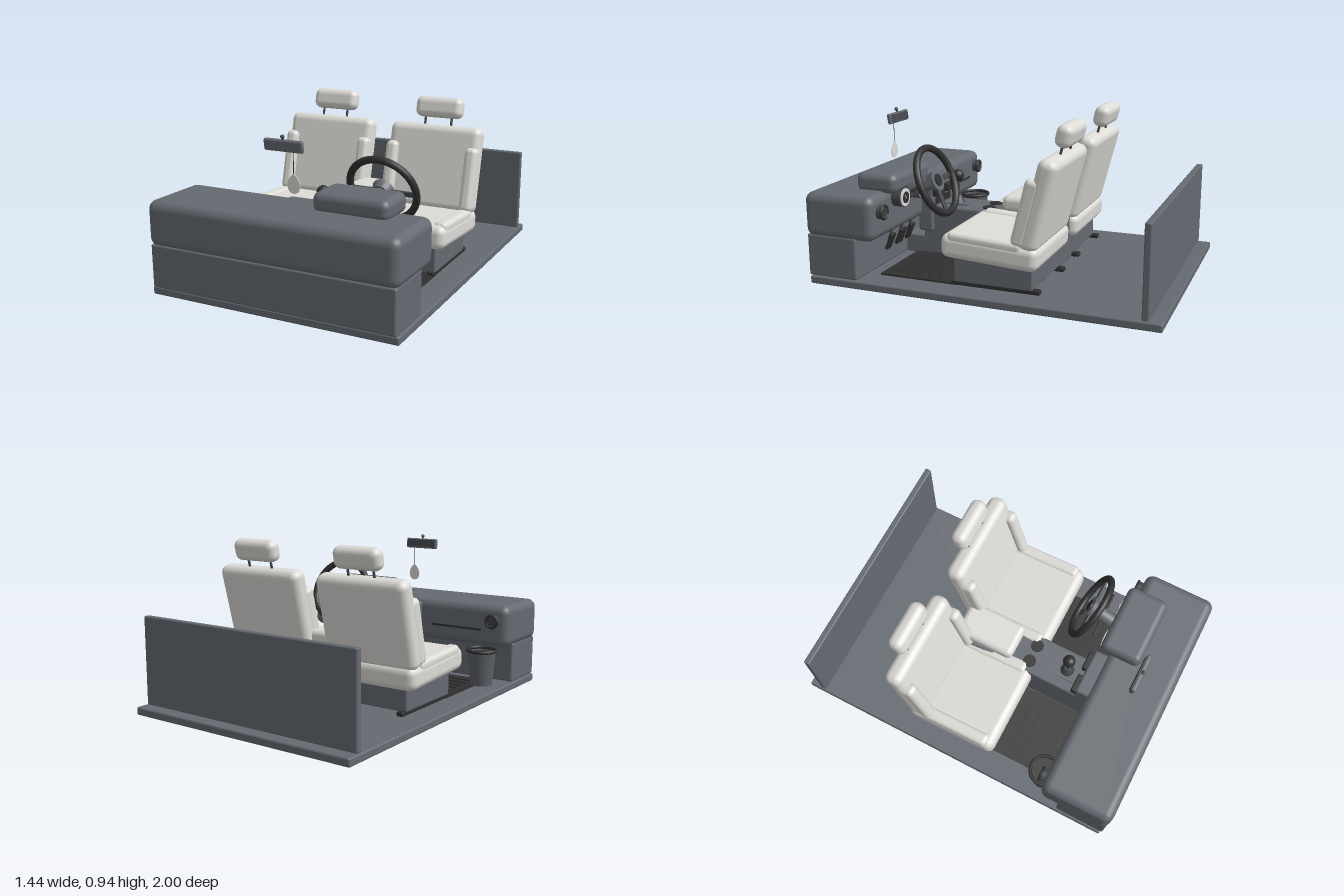
import * as THREE from 'three';
import { RoundedBoxGeometry } from 'three/addons/geometries/RoundedBoxGeometry.js';

const mat = (name, color, extra = {}) => Object.assign(new THREE.MeshStandardMaterial({ color, ...extra }), { name });

export function createModel() {
  const grey = mat('slate grey trim', 0x656a71);
  const ivory = mat('ivory upholstery', 0xdddcd7);
  const black = mat('black rubber', 0x303031);
  const dark = mat('dark metal', 0x45484d);
  const leafMat = mat('ivory charm', 0xdddcd7, { side: THREE.DoubleSide });
  const binMat = mat('bin grey', 0x5d6168, { side: THREE.DoubleSide });

  const model = new THREE.Group();
  model.name = 'vehicleCabin';

  const add = (parent, name, geo, material, x = 0, y = 0, z = 0, rx = 0, ry = 0, rz = 0) => {
    const m = new THREE.Mesh(geo, material);
    m.name = name;
    m.position.set(x, y, z);
    m.rotation.set(rx, ry, rz);
    parent.add(m);
    return m;
  };
  const group = (parent, name, x = 0, y = 0, z = 0, rx = 0) => {
    const g = new THREE.Group();
    g.name = name;
    g.position.set(x, y, z);
    g.rotation.x = rx;
    parent.add(g);
    return g;
  };
  const rbox = (w, h, d, r, s = 3) => new RoundedBoxGeometry(w, h, d, s, r);
  // Rounded box given by its extents on each axis
  const block = (parent, name, material, [x0, x1], [y0, y1], [z0, z1], r) =>
    add(parent, name, rbox(x1 - x0, y1 - y0, z1 - z0, r), material, (x0 + x1) / 2, (y0 + y1) / 2, (z0 + z1) / 2);
  const cyl = (rt, rb, h, n = 24, open = false) => new THREE.CylinderGeometry(rt, rb, h, n, 1, open);
  const HALF = Math.PI / 2;

  // Floor and rear wall
  block(model, 'floor', grey, [-0.717, 0.717], [0, 0.045], [-1, 0.98], 0.01);
  block(model, 'rearWall', grey, [-0.708, 0.708], [0.045, 0.54], [-0.93, -0.893], 0.008);

  // Dashboard
  block(model, 'dashboardBase', grey, [-0.706, 0.706], [0.045, 0.285], [0.69, 0.992], 0.012);
  block(model, 'dashboardTop', grey, [-0.72, 0.72], [0.27, 0.522], [0.575, 1], 0.05);
  block(model, 'instrumentHood', grey, [0.132, 0.553], [0.505, 0.615], [0.52, 0.765], 0.04);
  add(model, 'gloveBoxSlot', new THREE.BoxGeometry(0.34, 0.012, 0.008), black, -0.38, 0.37, 0.574);

  // Gauges facing the driver
  for (const x of [0.235, 0.445]) {
    const g = group(model, 'gauge', x, 0.472, 0.54);
    add(g, 'gaugeHousing', cyl(0.054, 0.054, 0.08), dark, 0, 0, 0.02, HALF);
    add(g, 'gaugeFace', cyl(0.05, 0.05, 0.008), ivory, 0, 0, -0.024, HALF);
    add(g, 'gaugeCentre', cyl(0.033, 0.033, 0.006), black, 0, 0, -0.028, HALF);
    add(g, 'gaugeNeedle', new THREE.BoxGeometry(0.004, 0.028, 0.004), ivory, 0.008, 0.008, -0.031, 0, 0, -0.7);
  }

  // Round air vents at the dashboard ends
  for (const x of [-0.632, 0.632]) {
    const v = group(model, 'roundVent', x, 0.43, 0.56);
    add(v, 'ventBarrel', cyl(0.038, 0.038, 0.045), dark, 0, 0, 0.005, HALF);
    add(v, 'ventRing', new THREE.TorusGeometry(0.036, 0.008, 8, 24), black, 0, 0, -0.015);
    for (const y of [-0.014, 0, 0.014])
      add(v, 'ventSlat', new THREE.BoxGeometry(0.056, 0.004, 0.006), black, 0, y, -0.019);
  }

  // Centre stack and console
  block(model, 'centreStack', grey, [-0.138, 0.138], [0.188, 0.5], [0.505, 0.6], 0.015);
  block(model, 'console', grey, [-0.12, 0.12], [0.045, 0.345], [-0.28, 0.575], 0.015);
  block(model, 'consoleFoot', grey, [-0.12, 0.12], [0.045, 0.155], [0.5, 0.7], 0.01);
  block(model, 'armrest', ivory, [-0.108, 0.108], [0.345, 0.438], [-0.285, 0.078], 0.035);
  for (const s of [-1, 1]) {
    block(model, 'centreVent', black, [s * 0.075 - 0.055, s * 0.075 + 0.055], [0.4, 0.45], [0.475, 0.51], 0.008);
    add(model, 'cupHolder', cyl(0.038, 0.038, 0.008), black, s * 0.052, 0.347, 0.177);
  }
  add(model, 'radioPanel', new THREE.BoxGeometry(0.19, 0.05, 0.008), black, 0, 0.325 + 0.035, 0.503);

  // Gear lever
  const gear = group(model, 'gearLever', 0, 0.345, 0.4);
  add(gear, 'gearPlate', new THREE.BoxGeometry(0.12, 0.008, 0.14), grey, 0, 0.003, -0.01);
  add(gear, 'gearBoot', cyl(0.02, 0.045, 0.05, 20), dark, 0, 0.025);
  add(gear, 'gearShaft', cyl(0.01, 0.01, 0.13, 12), dark, 0, 0.1);
  add(gear, 'gearKnob', new THREE.SphereGeometry(0.036, 20, 14), black, 0, 0.167);

  // Steering wheel: local y is up in the wheel plane, -z faces the driver
  const wheel = group(model, 'steeringWheel', 0.342, 0.558, 0.37, 0.39);
  add(wheel, 'wheelRim', new THREE.TorusGeometry(0.19, 0.02, 12, 48), black);
  add(wheel, 'wheelHub', cyl(0.062, 0.05, 0.045), grey, 0, 0, 0.015, -HALF);
  add(wheel, 'wheelBadge', cyl(0.035, 0.035, 0.008), black, 0, 0, -0.01, -HALF);
  for (const a of [0, Math.PI, -HALF])
    add(wheel, 'wheelSpoke', rbox(0.15, 0.032, 0.016, 0.007), dark,
      0.115 * Math.cos(a), 0.115 * Math.sin(a), 0.012, 0, 0, a);
  add(wheel, 'steeringColumn', cyl(0.038, 0.045, 0.24), grey, 0, 0, 0.13, -HALF);
  for (const s of [-1, 1])
    add(wheel, 'columnStalk', cyl(0.007, 0.007, 0.12, 10), black, s * 0.08, 0, 0.09, 0, 0, HALF);

  // Pedals under the dashboard on the driver's side
  for (const [x, w] of [[0.22, 0.05], [0.33, 0.07], [0.45, 0.05]]) {
    add(model, 'pedalArm', cyl(0.008, 0.008, 0.16, 10), dark, x, 0.28, 0.605, -0.3);
    add(model, 'pedalPad', rbox(w, 0.1, 0.018, 0.006), black, x, 0.21, 0.615, -0.4);
  }

  // Floor mats with ribs
  for (const s of [-1, 1]) {
    add(model, 'floorMat', new THREE.BoxGeometry(0.445, 0.009, 0.47), black, s * 0.343, 0.0495, 0.385);
    for (let i = 0; i < 5; i++)
      add(model, 'matRib', new THREE.BoxGeometry(0.34, 0.006, 0.014), black, s * 0.343, 0.056, 0.28 + i * 0.065);
  }

  // Seats
  for (const s of [-1, 1]) {
    const seat = group(model, s > 0 ? 'driverSeat' : 'passengerSeat', s * 0.346);
    block(seat, 'seatBase', grey, [-0.22, 0.22], [0.06, 0.21], [-0.28, 0.17], 0.01);
    for (const k of [-1, 1]) block(seat, 'seatRail', black, [k * 0.2 - 0.02, k * 0.2 + 0.02], [0.045, 0.07], [-0.32, 0.19], 0.006);

    const cushion = group(seat, 'cushion', 0, 0.262, -0.05, -0.06);
    add(cushion, 'seatCushion', rbox(0.568, 0.135, 0.55, 0.045), ivory);
    const back = group(seat, 'backrest', 0, 0.535, -0.32, -0.25);
    add(back, 'backCushion', rbox(0.57, 0.5, 0.11, 0.045), ivory);
    for (const k of [-1, 1]) {
      add(cushion, 'cushionBolster', rbox(0.075, 0.06, 0.42, 0.025), ivory, k * 0.245, 0.052, 0.025);
      add(back, 'backBolster', rbox(0.075, 0.37, 0.09, 0.03), ivory, k * 0.248, -0.055, 0.05);
      add(back, 'headrestPost', cyl(0.007, 0.007, 0.12, 10), dark, k * 0.082, 0.28);
    }
    add(back, 'headrest', rbox(0.29, 0.122, 0.092, 0.04), ivory, 0, 0.353, -0.004);
  }

  // Rear-view mirror
  const mirror = group(model, 'rearViewMirror', 0, 0.842, 0.792);
  add(mirror, 'mirrorHousing', rbox(0.222, 0.062, 0.026, 0.01), grey, 0, 0, 0, 0.15);
  add(mirror, 'mirrorGlass', new THREE.BoxGeometry(0.2, 0.045, 0.004), dark, 0, 0.002, -0.013, 0.15);
  add(mirror, 'mirrorStem', cyl(0.006, 0.006, 0.04, 10), dark, 0, 0.03, 0.006);
  add(mirror, 'mirrorBall', new THREE.SphereGeometry(0.011, 14, 10), dark, 0, 0.046, 0.01);

  // Leaf-shaped charm hanging from the mirror
  add(model, 'charmString', cyl(0.0018, 0.0018, 0.12, 6), black, 0.054, 0.76, 0.792);
  const leaf = new THREE.Shape();
  leaf.moveTo(0, 0.052);
  leaf.bezierCurveTo(0.022, 0.035, 0.036, 0.015, 0.036, -0.008);
  leaf.bezierCurveTo(0.036, -0.035, 0.018, -0.05, 0, -0.05);
  leaf.bezierCurveTo(-0.018, -0.05, -0.036, -0.035, -0.036, -0.008);
  leaf.bezierCurveTo(-0.036, 0.015, -0.022, 0.035, 0, 0.052);
  add(model, 'charm', new THREE.ExtrudeGeometry(leaf, { depth: 0.004, bevelEnabled: false }), leafMat, 0.054, 0.653, 0.79);

  // Waste bin in the passenger footwell
  const bin = group(model, 'wasteBin', -0.575, 0.045, 0.545);
  add(bin, 'binBody', cyl(0.084, 0.066, 0.21, 28, true), binMat, 0, 0.105, 0);
  add(bin, 'binBottom', cyl(0.066, 0.066, 0.006, 28), grey, 0, 0.004, 0);
  add(bin, 'binLining', cyl(0.08, 0.08, 0.006, 28), black, 0, 0.185, 0);
  add(bin, 'binRim', new THREE.TorusGeometry(0.085, 0.01, 8, 28), black, 0, 0.208, 0, HALF);

  return model;
}
